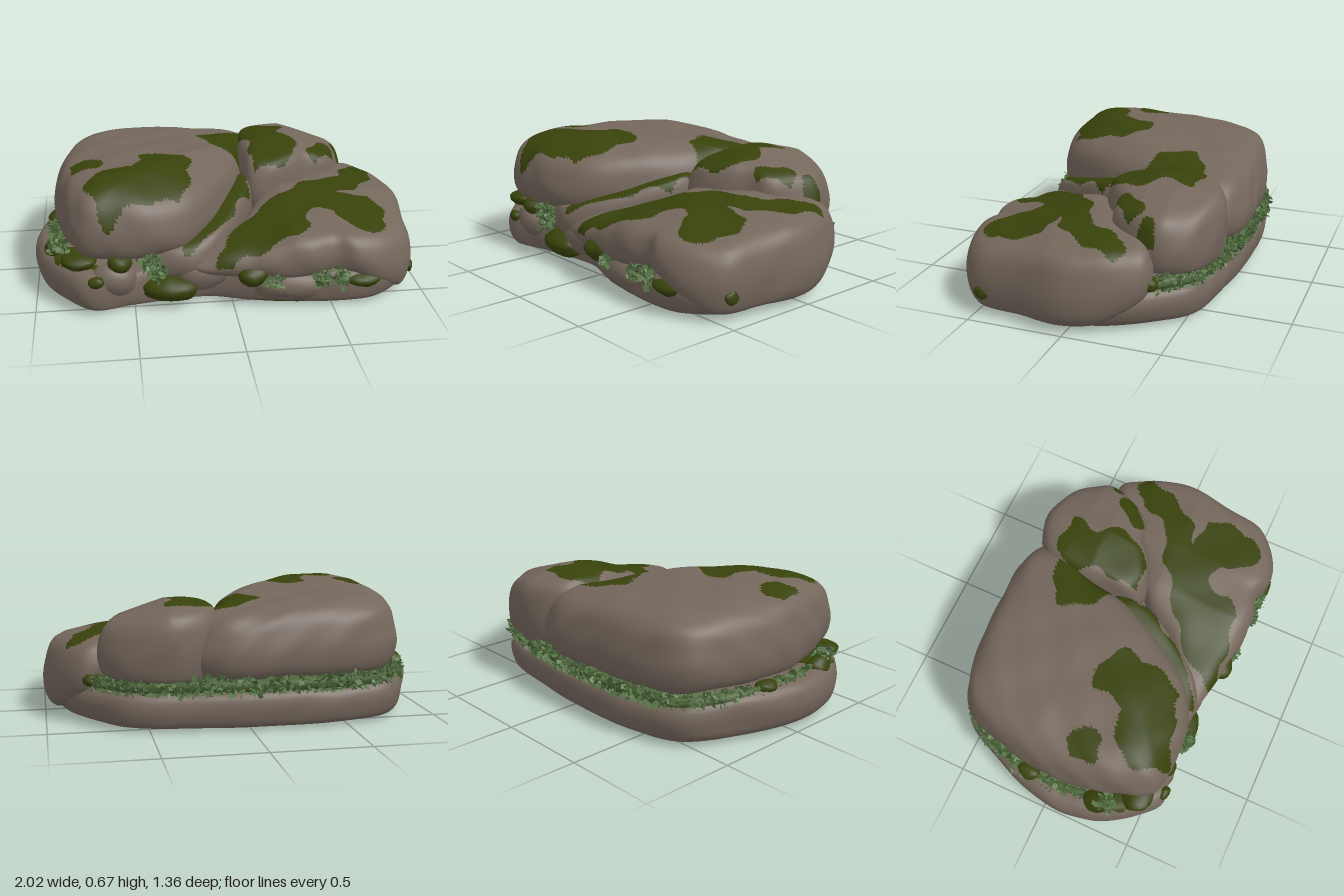
import * as THREE from 'three';
import { mergeVertices } from 'three/addons/utils/BufferGeometryUtils.js';

const mat = (name, color, side = THREE.FrontSide) =>
  Object.assign(new THREE.MeshStandardMaterial({ color, side }), { name });

// Soft repeatable bumps
const bump = (a, b, c) =>
  (Math.sin(a * 7 + b * 3.1 + 1) + Math.sin(b * 8 + c * 5.3 + 2) + Math.sin(c * 6.7 - a * 4.3)) / 3 +
  0.3 * Math.sin(a * 19 + c * 11) * Math.sin(b * 17 + c * 16 + a * 5);
const ramp = (v, a, b) => THREE.MathUtils.clamp((v - a) / (b - a), 0, 1);

function seeded(seed) {
  return () => (seed = (seed * 16807) % 2147483647) / 2147483647;
}

// Closed smooth plan curve from [x, z] pairs
const planCurve = (pts) =>
  new THREE.CatmullRomCurve3(pts.map(([x, z]) => new THREE.Vector3(x, 0, z)), true, 'centripetal');
const patch = (pts) => planCurve(pts).getPoints(70);
const spot = ([x, z, r]) => patch([[x - r, z], [x, z + r], [x + r * 1.3, z], [x, z - r * 0.8]]);

function inside(poly, x, z) {
  let hit = false;
  for (let i = 0, j = poly.length - 1; i < poly.length; j = i++) {
    const a = poly[i], b = poly[j];
    if (a.z > z !== b.z > z && x < ((b.x - a.x) * (z - a.z)) / (b.z - a.z) + a.x) hit = !hit;
  }
  return hit;
}

const ROUND = [[0, 0], [0.6, 0], [0.88, 0.02], [0.965, 0.15], [1, 0.42], [0.98, 0.66],
  [0.92, 0.86], [0.8, 0.965], [0.5, 1], [0, 1]];

// Rock lofted from a plan outline and a side profile; faces in moss patches get the second material
function rock(name, { outline, bottom, top, profile = ROUND, center, segs, rows, rough = 0.014, moss = [], under = [] }, mats) {
  const ring = planCurve(outline).getSpacedPoints(segs).slice(0, segs);
  const side = new THREE.SplineCurve(profile.map(([s, t]) => new THREE.Vector2(s, t * 0.6))).getSpacedPoints(rows);
  const pos = [];
  for (const { x: s, y: t } of side) {
    for (const p of ring) {
      const x = center[0] + (p.x - center[0]) * s, z = center[1] + (p.z - center[1]) * s;
      const y0 = bottom(x, z), y = y0 + (top(x, z) - y0) * (t / 0.6);
      const k = rough * ramp(y, 0, 0.1);
      pos.push(x + k * bump(x, y, z), Math.max(0, y + k * bump(z, x, y)), z + k * bump(y, z, x));
    }
  }
  const plain = [], mossy = [];
  const v = [0, 1, 2].map(() => new THREE.Vector3()), n = new THREE.Vector3();
  const face = (...ids) => {
    ids.forEach((id, i) => v[i].fromArray(pos, id * 3));
    n.subVectors(v[1], v[0]).cross(v[2].clone().sub(v[0])).normalize();
    const cx = (v[0].x + v[1].x + v[2].x) / 3, cz = (v[0].z + v[1].z + v[2].z) / 3;
    const wx = cx + 0.014 * Math.sin(cz * 35), wz = cz + 0.014 * Math.sin(cx * 33);
    const list = n.y > 0.1 ? moss : n.y < -0.6 ? under : [];
    (list.some((p) => inside(p, wx, wz)) ? mossy : plain).push(...ids);
  };
  for (let j = 0; j < rows; j++) {
    for (let i = 0; i < segs; i++) {
      const a = j * segs + i, b = j * segs + ((i + 1) % segs);
      if (j > 0) face(a, b, a + segs);
      if (j < rows - 1) face(b, b + segs, a + segs);
    }
  }
  const g = new THREE.BufferGeometry();
  g.setAttribute('position', new THREE.Float32BufferAttribute(pos, 3));
  g.setIndex(plain.concat(mossy));
  g.addGroup(0, plain.length, 0);
  g.addGroup(plain.length, mossy.length, 1);
  g.computeVertexNormals();
  const m = new THREE.Mesh(g, mats);
  m.name = name;
  return m;
}

// Lumpy rounded stone or moss cushion
function lump(name, [x, y, z], [rx, ry, rz], material) {
  let g = new THREE.SphereGeometry(1, 24, 16);
  g.deleteAttribute('uv');
  g.deleteAttribute('normal');
  g = mergeVertices(g);
  const p = g.attributes.position;
  for (let i = 0; i < p.count; i++) {
    const a = p.getX(i), b = p.getY(i), c = p.getZ(i), k = 1 + 0.12 * bump(a * 0.5 + x * 3, b * 0.5, c * 0.5 + z);
    p.setXYZ(i, a * k * rx, b * k * ry, c * k * rz);
  }
  g.computeVertexNormals();
  const m = new THREE.Mesh(g, material);
  m.position.set(x, y, z);
  m.name = name;
  return m;
}

// Many small bent leaves scattered round the points given by at()
function leaves(name, count, at, spread, size, rand, material) {
  const pos = [], dir = () => new THREE.Vector3(rand() - 0.5, rand() - 0.5, rand() - 0.5).normalize();
  for (let i = 0; i < count; i++) {
    const c = at(rand()).clone().addScaledVector(dir(), spread * (0.5 + 0.5 * rand()));
    const d = dir().multiplyScalar(size * (0.6 + 0.6 * rand()));
    const w = dir().cross(d).multiplyScalar(0.6);
    const tip = c.clone().add(d), l = c.clone().addScaledVector(d, 0.4).add(w), r = c.clone().addScaledVector(d, 0.4).sub(w);
    for (const q of [c, l, tip, c, tip, r]) pos.push(q.x, q.y, q.z);
  }
  const g = new THREE.BufferGeometry();
  g.setAttribute('position', new THREE.Float32BufferAttribute(pos, 3));
  g.computeVertexNormals();
  const m = new THREE.Mesh(g, material);
  m.name = name;
  return m;
}

export function createModel() {
  const group = new THREE.Group();
  const stone = mat('stone', 0x74675c), moss = mat('moss', 0x38420b);
  const leaf = mat('leaf', 0x557344, THREE.DoubleSide), darkLeaf = mat('dark leaf', 0x455c30, THREE.DoubleSide);
  const mats = [stone, moss], rand = seeded(77);

  // Wide bottom slab
  group.add(rock('baseSlab', {
    outline: [[-1, 0.05], [-0.97, 0.3], [-0.86, 0.48], [-0.73, 0.59], [-0.55, 0.54], [-0.35, 0.5], [-0.12, 0.48], [0.1, 0.55],
      [0.4, 0.61], [0.6, 0.63], [0.76, 0.61], [0.9, 0.48], [0.95, 0.2], [0.95, 0], [0.9, -0.2], [0.79, -0.38], [0.63, -0.55],
      [0.3, -0.61], [-0.05, -0.645], [-0.5, -0.63], [-0.76, -0.55], [-0.91, -0.3]],
    center: [0, 0], segs: 190, rows: 70, rough: 0.01,
    bottom: (x, z) => 0.004 + 0.02 * (x * x + z * z),
    top: (x) => 0.2 + 0.05 * ramp(-x, 0.5, 0.9),
    profile: [[0, 0], [0.6, 0], [0.9, 0.01], [0.965, 0.08], [0.995, 0.35], [1, 0.65], [0.975, 0.9], [0.9, 1], [0.5, 1], [0, 1]],
    moss: [patch([[-0.9, 0.3], [-0.75, 0.25], [-0.7, 0.5], [-0.85, 0.45]])],
    under: [
      patch([[0.76, -0.26], [0.66, -0.12], [0.4, -0.06], [0.33, 0.12], [0.37, 0.33], [0.42, 0.52], [0.3, 0.6], [0.1, 0.52], [-0.17, 0.45],
        [-0.23, 0.12], [-0.42, 0.02], [-0.34, -0.15], [-0.31, -0.35], [-0.15, -0.41], [-0.13, -0.58], [0.05, -0.5], [0.25, -0.37], [0.48, -0.45]]),
      ...[[-0.73, -0.24, 0.05], [-0.76, 0.07, 0.07], [-0.67, 0.1, 0.04], [-0.7, 0.25, 0.06], [-0.5, -0.13, 0.04], [0.6, 0.04, 0.04], [0.5, 0.13, 0.05],
        [-0.8, -0.06, 0.04]].map(spot),
    ],
  }, mats));

  // Low front slab on the left, reaching down over the base at its outer end
  group.add(rock('frontSlab', {
    outline: [[-0.2, 0.54], [0.1, 0.61], [0.38, 0.635], [0.5, 0.61], [0.6, 0.645], [0.76, 0.63], [0.93, 0.5], [0.97, 0.25],
      [1, 0], [0.94, -0.2], [0.8, -0.38], [0.62, -0.32], [0.45, -0.1], [0.2, 0.08], [0.05, 0.28]],
    center: [0.52, 0.2], segs: 210, rows: 74,
    bottom: (x, z) => 0.175 - 0.145 * ramp(x + 0.1 * z, 0.66, 0.92) + 0.03 * ramp(-z, 0.2, 0.4),
    top: (x, z) => 0.46 - 0.05 * ramp(x, 0.55, 1) - 0.1 * ramp(-x, -0.3, 0.2) - 0.09 * ramp(z, 0.1, 0.65),
    moss: [patch([[-0.08, 0.57], [0.05, 0.35], [0.25, 0.2], [0.5, 0.04], [0.62, 0], [0.74, -0.22], [0.87, -0.24], [0.85, -0.08],
      [0.7, 0.12], [0.59, 0.18], [0.78, 0.2], [0.79, 0.48], [0.62, 0.53], [0.54, 0.35], [0.42, 0.35], [0.38, 0.5], [0.2, 0.57]])],
  }, mats));

  // Large upper boulder on the right
  group.add(rock('largeBoulder', {
    outline: [[-0.89, 0], [-0.86, 0.3], [-0.76, 0.54], [-0.6, 0.57], [-0.4, 0.57], [-0.22, 0.5], [-0.03, 0.26], [0.11, 0.01],
      [0.18, -0.25], [0.28, -0.53], [0.15, -0.63], [-0.05, -0.66], [-0.5, -0.64], [-0.76, -0.52], [-0.86, -0.26]],
    center: [-0.35, -0.05], segs: 210, rows: 74, rough: 0.016,
    bottom: (x, z) => 0.25 + 0.03 * ramp(z, 0.1, 0.5),
    top: (x, z) => 0.657 - 0.03 * ramp(x, -0.2, 0.2) - 0.07 * ramp(x + z, -0.15, 0.25) - 0.03 * ramp(z, 0.3, 0.55) - 0.04 * ramp(-z, 0.1, 0.6),
    profile: [[0, 0], [0.6, 0], [0.88, 0.02], [0.97, 0.13], [1, 0.35], [0.98, 0.58], [0.92, 0.82], [0.8, 0.95], [0.55, 1], [0, 1]],
    moss: [
      patch([[-0.72, 0.4], [-0.62, 0.24], [-0.48, 0.24], [-0.42, 0.03], [-0.32, 0.04], [-0.2, 0.08], [-0.19, 0.22], [-0.25, 0.43], [-0.45, 0.5], [-0.65, 0.55]]),
      patch([[-0.8, 0.08], [-0.66, 0.07], [-0.65, 0.2], [-0.76, 0.22]]),
      patch([[-0.09, -0.3], [0.03, -0.4], [0.3, -0.45], [0.25, -0.2], [0.12, -0.1], [0.03, -0.12]]),
    ],
  }, mats));

  // Smaller boulder at the back
  group.add(rock('backBoulder', {
    outline: [[0.13, -0.15], [0.16, 0.03], [0.26, 0.06], [0.42, -0.01], [0.5, -0.07], [0.61, -0.1], [0.7, -0.25], [0.73, -0.4], [0.62, -0.57], [0.35, -0.625], [0.15, -0.5]],
    center: [0.4, -0.3], segs: 140, rows: 56,
    bottom: () => 0.25,
    top: (x, z) => 0.625 - 0.1 * ramp(x, 0.4, 0.75) - 0.06 * ramp(z, -0.25, 0.05) - 0.03 * ramp(-z, 0.4, 0.6),
    moss: [
      patch([[0.15, -0.43], [0.4, -0.45], [0.37, -0.32], [0.45, -0.15], [0.36, -0.03], [0.26, 0.02], [0.18, 0], [0.18, -0.2]]),
      patch([[0.51, -0.14], [0.55, -0.24], [0.65, -0.27], [0.64, -0.18], [0.55, -0.11]]),
      patch([[0.69, -0.3], [0.8, -0.3], [0.8, -0.37], [0.69, -0.37]]),
    ],
  }, mats));

  // Sloping ledge between the boulder and the front slab
  group.add(rock('middleLedge', {
    outline: [[-0.42, 0.5], [-0.24, 0.56], [-0.1, 0.51], [0.06, 0.29], [0.17, 0.07], [0.15, -0.12], [0, -0.1], [-0.3, 0.25]],
    center: [-0.1, 0.25], segs: 110, rows: 44, rough: 0.01,
    bottom: () => 0.17,
    top: (x, z) => 0.34 + 0.16 * ramp(x - z, -0.75, 0.1),
    moss: [patch([[-0.28, 0.42], [-0.08, 0.14], [0.03, -0.05], [0.14, -0.1], [0.13, 0.1], [0.04, 0.29], [-0.1, 0.45], [-0.24, 0.53]])],
  }, mats));

  // Moss cushions and small stones in the front cracks
  for (const [p, r] of [
    [[-0.32, 0.105, 0.5], [0.15, 0.065, 0.1]], [[-0.57, 0.265, 0.52], [0.065, 0.05, 0.06]],
    [[-0.77, 0.26, 0.46], [0.09, 0.04, 0.08]], [[0.09, 0.185, 0.57], [0.08, 0.06, 0.07]],
    [[0.65, 0.14, 0.59], [0.1, 0.04, 0.06]], [[-0.89, 0.25, 0.28], [0.06, 0.05, 0.08]],
    [[0.935, 0.13, 0.45], [0.02, 0.035, 0.04]], [[-0.69, 0.19, 0.575], [0.04, 0.03, 0.03]],
    [[0.77, 0.235, -0.35], [0.05, 0.04, 0.06]], [[-0.89, 0.25, -0.12], [0.05, 0.035, 0.06]],
  ]) group.add(lump('mossCushion', p, r, moss));
  for (const [p, r] of [
    [[-0.15, 0.17, 0.48], [0.14, 0.09, 0.08]], [[0.3, 0.11, 0.56], [0.2, 0.08, 0.07]], [[-0.6, 0.17, 0.51], [0.12, 0.09, 0.07]],
  ]) group.add(lump('crackStone', p, r, stone));

  // Foliage band along the crevice round the back and right
  const crevice = new THREE.CatmullRomCurve3([[0.8, -0.3], [0.71, -0.43], [0.59, -0.53], [0.3, -0.585], [-0.05, -0.62], [-0.48, -0.6],
    [-0.72, -0.51], [-0.85, -0.28], [-0.9, 0], [-0.88, 0.2]].map(([x, z]) => new THREE.Vector3(x, 0.23, z)));
  const core = new THREE.Mesh(new THREE.TubeGeometry(crevice, 90, 0.03, 8), darkLeaf);
  core.name = 'creviceFoliageCore';
  group.add(core);
  const along = (t) => crevice.getPointAt(t);
  group.add(leaves('creviceLeaves', 3000, along, 0.045, 0.032, rand, leaf));
  group.add(leaves('creviceDarkLeaves', 800, along, 0.04, 0.03, rand, darkLeaf));

  // Leaf tufts in the front cracks
  for (const [x, y, z] of [[-0.42, 0.28, 0.55], [-0.38, 0.23, 0.57], [-0.88, 0.29, 0.32], [0.2, 0.16, 0.59], [0.44, 0.16, 0.61], [0.54, 0.16, 0.61]]) {
    const c = new THREE.Vector3(x, y, z);
    group.add(leaves('frontTuft', 110, () => c, 0.05, 0.03, rand, leaf));
    group.add(leaves('frontDarkTuft', 40, () => c, 0.045, 0.03, rand, darkLeaf));
  }
  return group;
}
